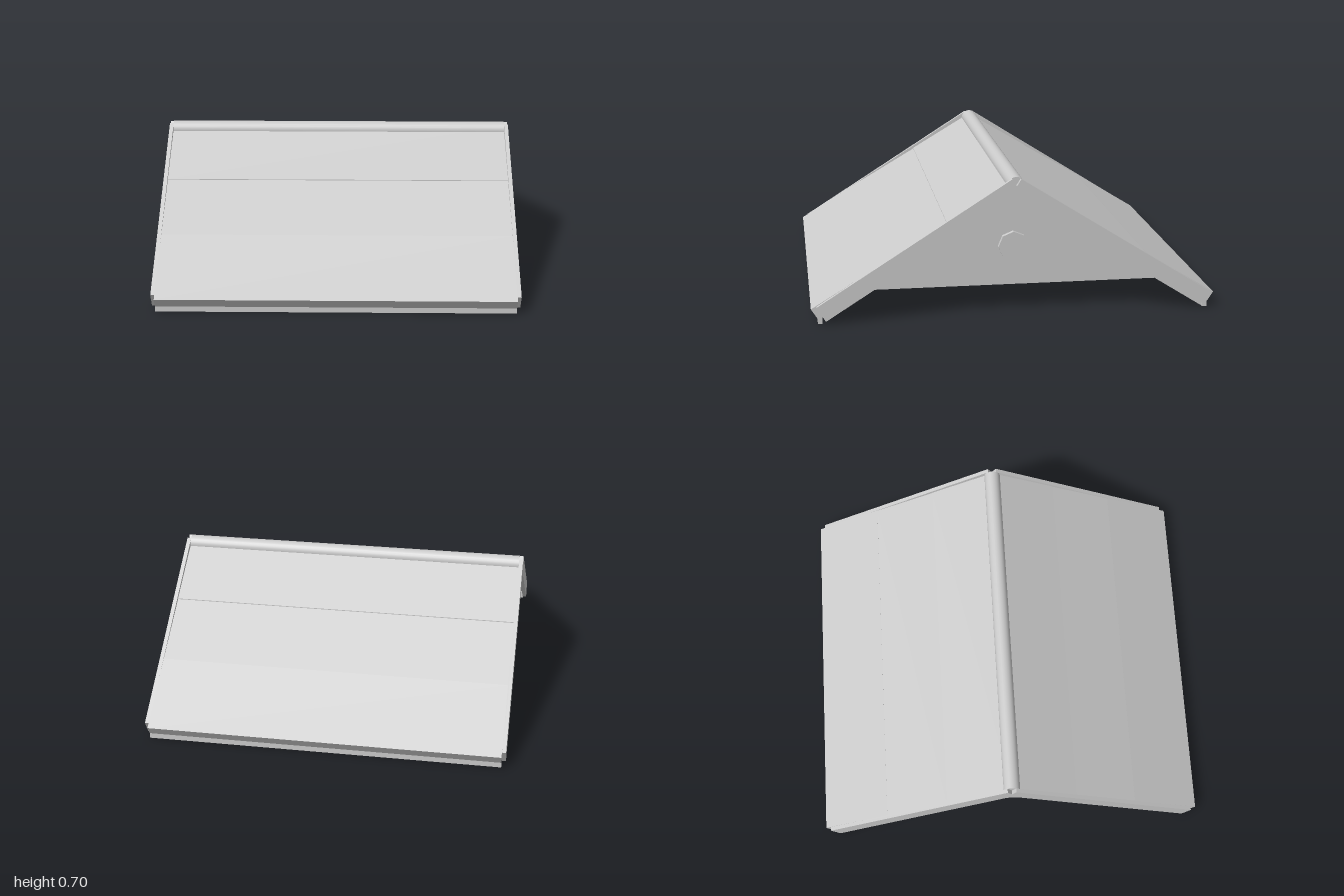
import * as THREE from 'three';

const HALF = 0.885; // half length of the roof between the barge boards
const material = new THREE.MeshStandardMaterial({ color: 0xcccccc });

// Extrude a [z, y] profile along x from x0 to x1
function prism(name, profile, x0, x1) {
  const shape = new THREE.Shape(profile.map(([z, y]) => new THREE.Vector2(-z, y)));
  const geometry = new THREE.ExtrudeGeometry(shape, { depth: x1 - x0, bevelEnabled: false });
  geometry.rotateY(Math.PI / 2).translate(x0, 0, 0);
  const mesh = new THREE.Mesh(geometry, material);
  mesh.name = name;
  return mesh;
}

// One slope: three boards, a drip edge and the two barge boards
function roofSlope() {
  const slope = new THREE.Group();
  const boards = [
    [[0, 0.677], [0.335, 0.477], [0.335, 0.43], [0, 0.63]],
    [[0.335, 0.473], [0.655, 0.285], [0.655, 0.238], [0.335, 0.426]],
    [[0.655, 0.287], [1, 0.075], [0.97, 0.028], [0.655, 0.236]],
  ];
  boards.forEach((profile, i) => slope.add(prism('roofBoard' + (i + 1), profile, -HALF, HALF)));

  slope.add(prism('dripEdge', [[0.945, 0.07], [0.968, 0.06], [0.968, 0], [0.945, 0]], -HALF, HALF));

  const barge = [[0, 0.605], [0, 0.655], [0.022, 0.69], [0.973, 0.088], [0.93, 0.015]];
  slope.add(prism('bargeBoardLeft', barge, HALF, 0.905));
  slope.add(prism('bargeBoardRight', barge, -0.905, -HALF));
  return slope;
}

export function createModel() {
  const model = new THREE.Group();
  model.name = 'gableRoof';

  const front = roofSlope();
  front.name = 'frontSlope';
  const back = roofSlope();
  back.name = 'backSlope';
  back.rotation.y = Math.PI;
  model.add(front, back);

  // Rounded ridge cap
  const ridge = new THREE.Mesh(new THREE.CylinderGeometry(0.042, 0.042, 2 * HALF, 24), material);
  ridge.name = 'ridgeCap';
  ridge.rotation.z = Math.PI / 2;
  ridge.position.y = 0.655;
  model.add(ridge);

  // Gable walls set in from the ends, each with an octagonal vent
  const wall = [[-0.83, 0.13], [0.83, 0.13], [0, 0.64]];
  const ventGeometry = new THREE.CylinderGeometry(0.075, 0.075, 0.05, 8).toNonIndexed();
  ventGeometry.computeVertexNormals();
  for (const [side, label] of [[1, 'Left'], [-1, 'Right']]) {
    const x = [side * 0.7, side * 0.79];
    model.add(prism('gableWall' + label, wall, Math.min(...x), Math.max(...x)));

    const vent = new THREE.Mesh(ventGeometry, material);
    vent.name = 'gableVent' + label;
    vent.rotation.z = Math.PI / 2;
    vent.position.set(side * 0.79, 0.33, 0);
    model.add(vent);
  }
  return model;
}
